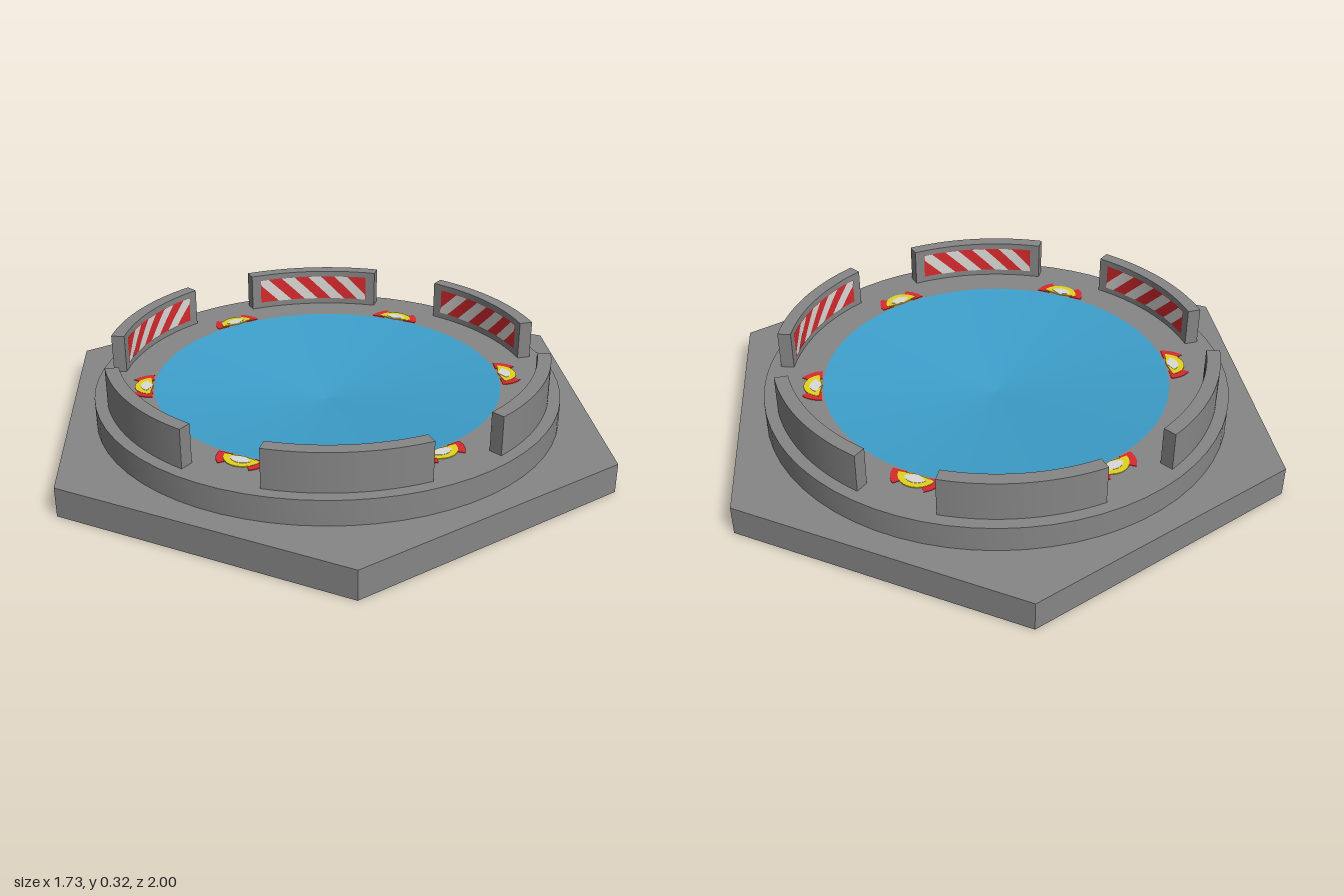
import * as THREE from 'three';
import { toCreasedNormals } from 'three/addons/utils/BufferGeometryUtils.js';

const RIM_TOP = 0.185, RIM_R = 0.78, POOL_R = 0.583;
const WALL_IN = 0.695, WALL_OUT = 0.74, WALL_TOP = 0.317;
const deg = THREE.MathUtils.degToRad;

function material(name, color, side = THREE.FrontSide) {
  const m = new THREE.MeshStandardMaterial({ color, side });
  m.name = name;
  return m;
}

function mesh(name, geometry, mat, parent) {
  const m = new THREE.Mesh(geometry, mat);
  m.name = name;
  parent.add(m);
  return m;
}

// Flat shape raised along y; shape y becomes -z
function slab(shape, depth, y) {
  const g = new THREE.ExtrudeGeometry(shape, { depth, bevelEnabled: false, curveSegments: 20 });
  g.rotateX(-Math.PI / 2);
  g.translate(0, y, 0);
  return toCreasedNormals(g, 0.6);
}

function sector(inner, outer, a0, a1) {
  const s = new THREE.Shape();
  s.absarc(0, 0, outer, a0, a1, false);
  if (inner > 0) s.absarc(0, 0, inner, a1, a0, true);
  else s.lineTo(0, 0);
  s.closePath();
  return s;
}

// Painted patch on a wall's inner face, slanted and cut off at the panel ends
function curvedPatch(r, a0, a1, slant, limit) {
  const g = new THREE.PlaneGeometry(1, 1, 16, 8);
  const p = g.attributes.position;
  for (let i = 0; i < p.count; i++) {
    const u = p.getX(i) + 0.5, v = p.getY(i) + 0.5;
    const a = deg(THREE.MathUtils.clamp(a0 + (a1 - a0) * u + slant * (v - 0.5), -limit, limit));
    // Angle grows towards the left as seen from the centre
    p.setXYZ(i, -r * Math.sin(a), 0.207 + 0.09 * v, -r * Math.cos(a));
  }
  // Reverse the corners so that the patch faces the centre
  const index = g.index.array;
  for (let i = 0; i < index.length; i += 3) {
    [index[i], index[i + 1]] = [index[i + 1], index[i]];
  }
  g.computeVertexNormals();
  return g;
}

export function createModel() {
  const model = new THREE.Group();
  model.name = 'hexagonalPool';
  const grey = material('concrete grey', 0x868686);
  const blue = material('pool blue', 0x3d9fcb);
  const red = material('warning red', 0xd62a2e, THREE.DoubleSide);
  const white = material('marking white', 0xdcdad6, THREE.DoubleSide);
  const yellow = material('lamp yellow', 0xe2d21e, THREE.DoubleSide);

  // Six-sided foundation
  const base = new THREE.CylinderGeometry(1, 1, 0.1, 6);
  base.translate(0, 0.05, 0);
  mesh('hexBase', toCreasedNormals(base, 0.5), grey, model);

  // Round rim with an open centre
  const rim = new THREE.LatheGeometry([
    new THREE.Vector2(RIM_R, 0.1),
    new THREE.Vector2(RIM_R, RIM_TOP),
    new THREE.Vector2(POOL_R, RIM_TOP),
  ], 64);
  mesh('rim', toCreasedNormals(rim, 0.6), grey, model);

  // Shallow conical basin
  const basin = new THREE.LatheGeometry([
    new THREE.Vector2(POOL_R, RIM_TOP),
    new THREE.Vector2(0, 0.115),
  ], 64);
  mesh('basin', basin, blue, model);

  for (let k = 0; k < 6; k++) {
    // Curved barrier wall with a striped panel inside
    const wall = new THREE.Group();
    wall.name = 'barrier' + (k + 1);
    wall.rotation.y = deg(60 * k);
    model.add(wall);
    const half = deg(19.8);
    const arc = sector(WALL_IN, WALL_OUT, Math.PI / 2 - half, Math.PI / 2 + half);
    mesh('barrierWall', slab(arc, WALL_TOP - RIM_TOP, RIM_TOP), grey, wall);

    const limit = 17, period = 8.5, slant = k % 3 === 0 ? 7.5 : -7.5;
    mesh('warningPanel', curvedPatch(WALL_IN - 0.002, -limit, limit, 0, limit), red, wall);
    for (let i = 0; i < 4; i++) {
      const c = (i - 1.5) * period;
      mesh('whiteStripe', curvedPatch(WALL_IN - 0.004, c - 2.1, c + 2.1, slant, limit), white, wall);
    }

    // Half-round rim marker between two barriers
    const marker = new THREE.Group();
    marker.name = 'rimMarker' + (k + 1);
    marker.rotation.y = deg(60 * k);
    model.add(marker);
    const q = Math.PI / 2;
    const parts = [
      ['markerRed', red, sector(0.04, 0.085, -q, deg(-38)), 0.002],
      ['markerRed', red, sector(0.04, 0.085, deg(38), q), 0.002],
      ['markerYellow', yellow, sector(0, 0.062, deg(-80), deg(80)), 0.003],
      ['markerWhite', white, sector(0, 0.042, deg(-60), deg(60)), 0.004],
    ];
    for (const [name, mat, shape, depth] of parts) {
      mesh(name, slab(shape, depth, RIM_TOP), mat, marker).position.x = POOL_R + 0.004;
    }
  }
  return model;
}
